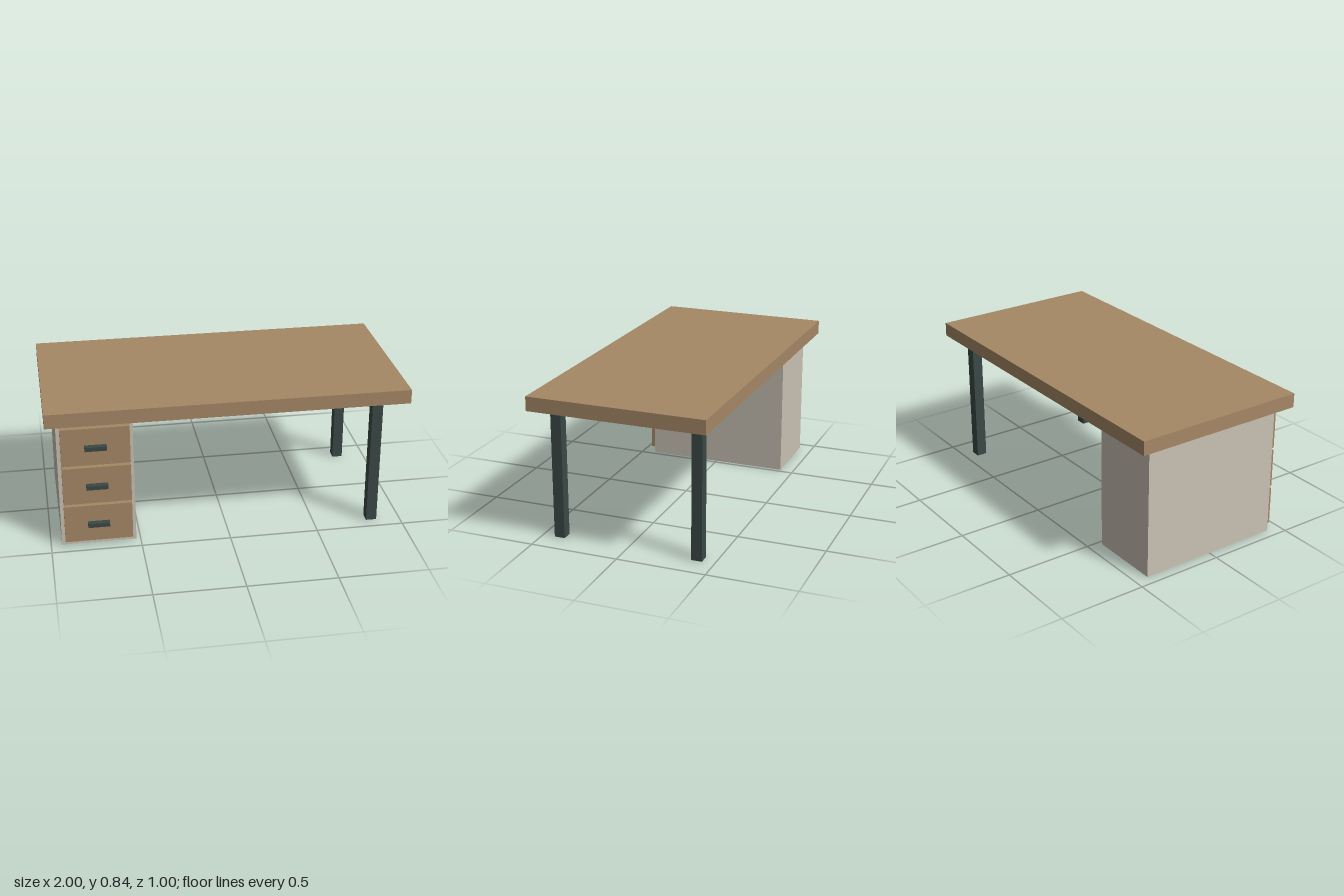
import * as THREE from 'three';

export function createModel() {
  const desk = new THREE.Group();
  desk.name = 'desk';

  const material = (name, color) => {
    const m = new THREE.MeshStandardMaterial({ color });
    m.name = name;
    return m;
  };
  const wood = material('wood', 0xa68866);
  const cream = material('cream panel', 0xcac2b4);
  const metal = material('dark metal', 0x3b4946);

  // Box given by its size and centre
  const box = (name, mat, [w, h, d], [x, y, z], parent = desk) => {
    const mesh = new THREE.Mesh(new THREE.BoxGeometry(w, h, d), mat);
    mesh.name = name;
    mesh.position.set(x, y, z);
    parent.add(mesh);
    return mesh;
  };

  // Desktop slab
  box('desktop', wood, [2, 0.08, 1], [0, 0.8, 0]);

  // Two square legs on the left end
  for (const [name, z] of [['frontLeg', 0.4], ['backLeg', -0.4]]) {
    box(name, metal, [0.06, 0.76, 0.06], [0.835, 0.38, z]);
  }

  // Drawer pedestal on the right end
  const pedestal = new THREE.Group();
  pedestal.name = 'pedestal';
  pedestal.position.x = -0.732;
  desk.add(pedestal);
  box('cabinet', cream, [0.416, 0.76, 0.84], [0, 0.38, 0], pedestal);

  // Three drawers, each with a bar handle
  ['bottom', 'middle', 'top'].forEach((level, i) => {
    const y = 0.141 + i * 0.235;
    box(level + 'DrawerFront', wood, [0.376, 0.22, 0.03], [0, y, 0.435], pedestal);
    box(level + 'DrawerHandle', metal, [0.12, 0.024, 0.034], [0, y, 0.466], pedestal);
  });

  return desk;
}
